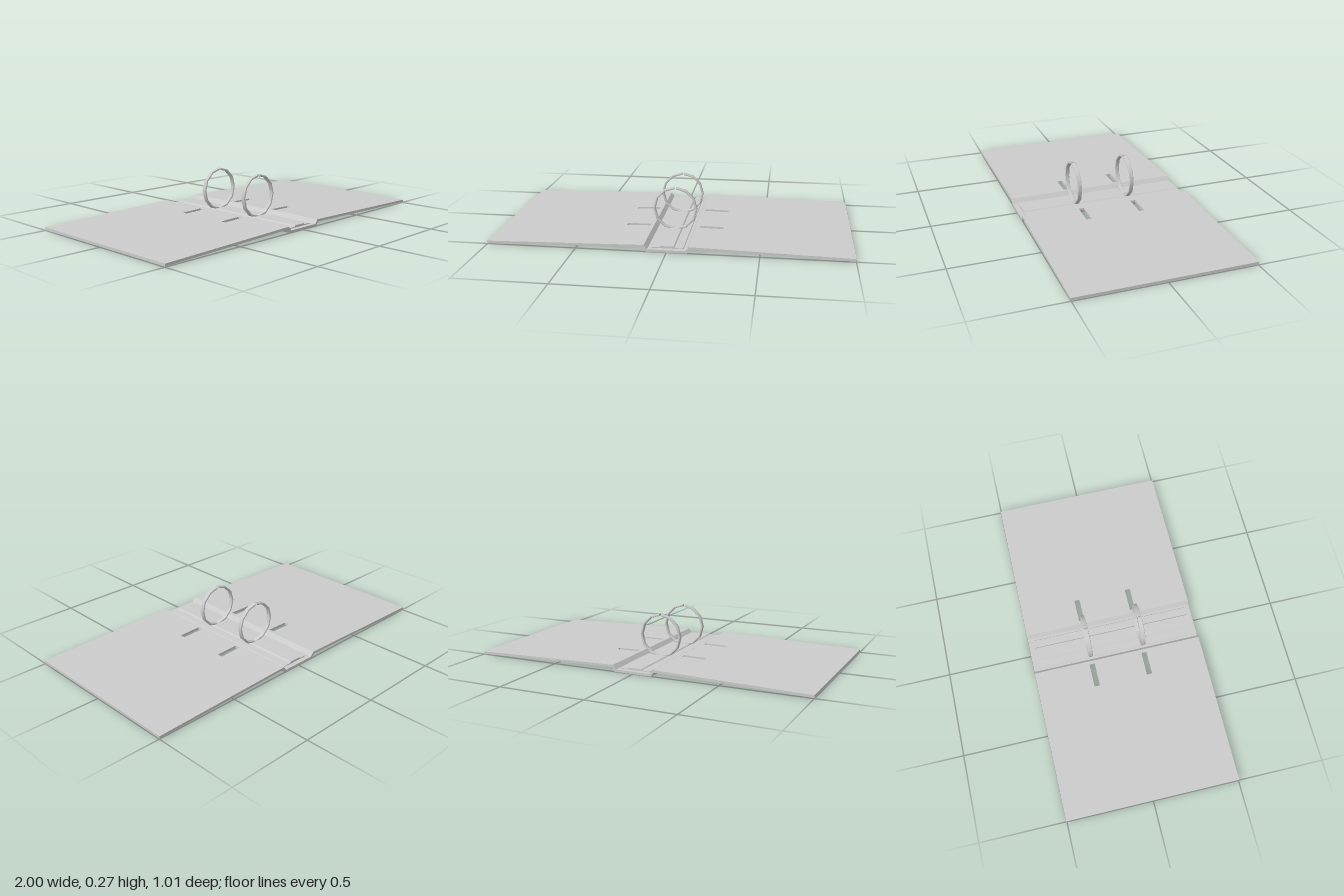
import * as THREE from 'three';
import { toCreasedNormals } from 'three/addons/utils/BufferGeometryUtils.js';

const material = new THREE.MeshStandardMaterial({ color: 0xcccccc });
const HALF_Z = 0.503;
const THICK = 0.014;
const HINGE_X = 0.13;
const RING_Z = 0.159;

function add(parent, name, geometry) {
  const mesh = new THREE.Mesh(geometry, material);
  mesh.name = name;
  parent.add(mesh);
  return mesh;
}

const toShape = (points) => new THREE.Shape(points.map(([x, y]) => new THREE.Vector2(x, y)));

// Mirrors the right half of an outline, listed from the middle outwards
const mirrored = (half) => [...half.map(([x, y]) => [-x, y]).reverse(), ...half];

// Front outline pulled along z, centred
function extrudeZ(points, depth) {
  return new THREE.ExtrudeGeometry(toShape(points), { depth, bevelEnabled: false })
    .translate(0, 0, -depth / 2);
}

// Cover board with two slots, sheared so it slopes down to its outer edge
function boardGeometry() {
  const rect = (x0, x1, z0, z1) => [[x0, z0], [x1, z0], [x1, z1], [x0, z1]];
  const shape = toShape(rect(HINGE_X, 1, -HALF_Z, HALF_Z));
  for (const z of [-RING_Z, RING_Z]) {
    shape.holes.push(toShape(rect(0.142, 0.28, z - 0.016, z + 0.016)));
  }
  const geo = new THREE.ExtrudeGeometry(shape, { depth: THICK, bevelEnabled: false });
  geo.rotateX(-Math.PI / 2);
  const pos = geo.attributes.position;
  for (let i = 0; i < pos.count; i++) {
    const t = (pos.getX(i) - HINGE_X) / (1 - HINGE_X);
    pos.setY(i, pos.getY(i) + THREE.MathUtils.lerp(0.024, 0.004, t));
  }
  geo.computeVertexNormals();
  return geo;
}

// Half of a twelve-sided ring with rounded edges and a small gap at the top
function halfRingGeometry() {
  const outer = [], inner = [];
  const R = 0.127, r = 0.115, gap = 0.04, width = 0.024, bevel = 0.004;
  for (let i = 0; i <= 6; i++) {
    const a = i === 0 ? gap : (i * Math.PI) / 6;
    outer.push([Math.sin(a) * R, Math.cos(a) * R]);
    inner.unshift([Math.sin(a) * r, Math.cos(a) * r]);
  }
  const geo = new THREE.ExtrudeGeometry(toShape([...outer, ...inner]), {
    depth: width - 2 * bevel, bevelEnabled: true, bevelThickness: bevel,
    bevelSize: bevel, bevelOffset: -bevel, bevelSegments: 3,
  });
  geo.translate(0, 0, -width / 2 + bevel);
  return toCreasedNormals(geo, 0.6);
}

export function createModel() {
  const binder = new THREE.Group();
  binder.name = 'ringBinder';

  // Boards, the left one turned half round
  const board = boardGeometry();
  add(binder, 'leftCover', board);
  add(binder, 'rightCover', board).rotation.y = Math.PI;

  // Sunken spine with the two stepped hinges
  const top = mirrored([[0.104, THICK], [0.122, 0.038], [HINGE_X, 0.038]]);
  const bottom = mirrored([[0.111, 0], [0.127, 0.024], [HINGE_X, 0.024]]);
  add(binder, 'spine', extrudeZ([...bottom, ...top.reverse()], HALF_Z * 2));

  // Metal plate with a raised middle
  const plate = mirrored([[0.035, 0.026], [0.042, 0.019], [0.088, 0.018], [0.092, 0.013]]);
  add(binder, 'ringPlate', extrudeZ(plate.reverse(), 0.95));

  // Two rings, each of two halves
  const half = halfRingGeometry();
  for (const [name, z] of [['frontRing', RING_Z], ['backRing', -RING_Z]]) {
    const ring = new THREE.Group();
    ring.name = name;
    ring.position.set(0, 0.142, z);
    add(ring, 'leftHalf', half);
    add(ring, 'rightHalf', half).rotation.y = Math.PI;
    binder.add(ring);
  }
  return binder;
}
